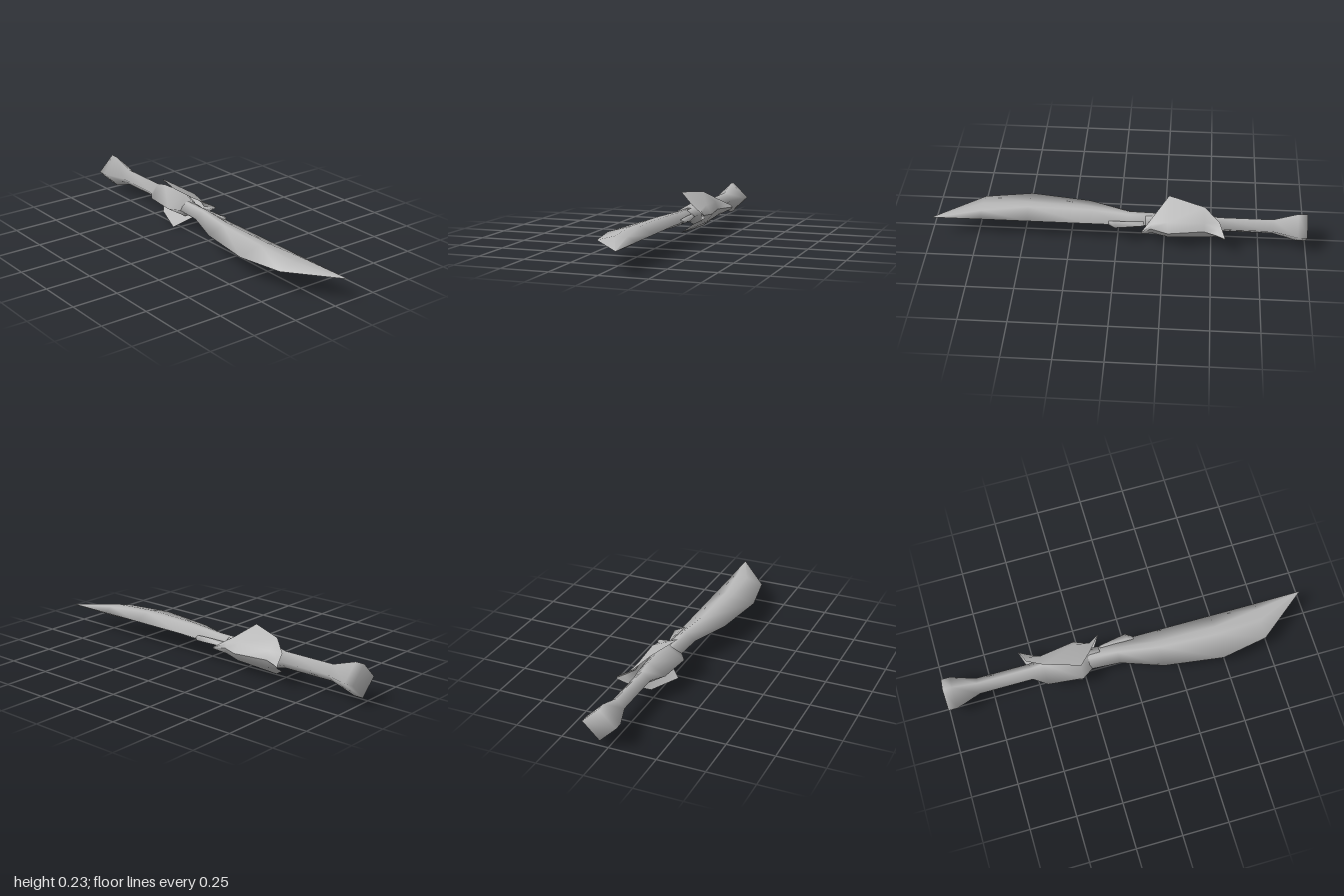
import * as THREE from 'three';

const AXIS = 0.117; // height of the centre line

// Skin rings of [z, y] points placed along x, closing both ends.
function loft(sections) {
  const n = sections[0].ring.length, pos = [], idx = [];
  for (const s of sections) for (const [z, y] of s.ring) pos.push(s.x, AXIS + y, z);
  for (let i = 0; i < sections.length - 1; i++) {
    for (let j = 0; j < n; j++) {
      const a = i * n + j, b = i * n + (j + 1) % n;
      idx.push(a, a + n, b, b, a + n, b + n);
    }
  }
  const last = (sections.length - 1) * n;
  for (let j = 1; j < n - 1; j++) {
    idx.push(0, j, j + 1);
    idx.push(last, last + j + 1, last + j);
  }
  return finish(pos, idx);
}

function finish(pos, idx) {
  const g = new THREE.BufferGeometry();
  g.setAttribute('position', new THREE.Float32BufferAttribute(pos, 3));
  g.setIndex(idx);
  g.computeVertexNormals();
  return g;
}

// Four-cornered section: front z, half height, back z.
const diamond = (x, front, half, back, mid = -0.045) =>
  ({ x, ring: [[front, 0], [mid, half], [back, 0], [mid, -half]] });

// Blade section: cutting edge, two shoulders per side, spine.
const bladeSection = (x, edge, front, back, spine, h) =>
  ({ x, ring: [[edge, 0], [front, h], [back, h], [spine, 0], [back, -h], [front, -h]] });

// Folded guard plate: each column runs from the rear ridge to the wing rim.
function wing(side) {
  const columns = [
    [[-0.57, 0, -0.17], [-0.57, 0.005, -0.168], [-0.568, 0.01, -0.165]],
    [[-0.53, 0, -0.147], [-0.53, 0.025, -0.12], [-0.54, 0.048, -0.09]],
    [[-0.46, 0, -0.115], [-0.46, 0.045, -0.1], [-0.46, 0.098, -0.03]],
    [[-0.27, 0, -0.145], [-0.27, 0.048, -0.11], [-0.27, 0.115, 0.037]],
    [[-0.18, 0, -0.11], [-0.19, 0.03, -0.105], [-0.2, 0.055, -0.05]],
    [[-0.13, 0, -0.15], [-0.132, 0.004, -0.147], [-0.134, 0.008, -0.142]],
  ];
  const pos = [], idx = [];
  for (const c of columns) for (const [x, y, z] of c) pos.push(x, AXIS + side * y, z);
  for (let i = 0; i < columns.length - 1; i++) {
    for (let j = 0; j < 2; j++) {
      const a = i * 3 + j, b = a + 1, c = a + 3, d = a + 4;
      if (side > 0) idx.push(a, b, c, b, d, c);
      else idx.push(a, c, b, b, c, d);
    }
  }
  return finish(pos, idx);
}

export function createModel() {
  const model = new THREE.Group();
  const steel = new THREE.MeshStandardMaterial({ color: 0xb8b8b8, side: THREE.DoubleSide });
  steel.name = 'grey steel';
  const add = (name, geometry) => {
    const mesh = new THREE.Mesh(geometry, steel);
    mesh.name = name;
    model.add(mesh);
  };

  // Pommel, grip and swollen hub in one skin
  add('handle', loft([
    diamond(-1, 0.045, 0.088, -0.135),
    diamond(-0.95, 0.045, 0.088, -0.135),
    diamond(-0.82, 0, 0.045, -0.09),
    diamond(-0.53, 0, 0.045, -0.09),
    diamond(-0.46, 0.05, 0.06, -0.1),
    diamond(-0.27, 0.07, 0.07, -0.11),
    diamond(-0.21, 0.03, 0.037, -0.085),
    diamond(-0.15, 0.03, 0.035, -0.085),
  ]));

  // Swept guard wings, mirrored above and below
  for (const side of [1, -1]) add(side > 0 ? 'upperGuardWing' : 'lowerGuardWing', wing(side));

  // Curved blade with a straight spine
  add('blade', loft([
    bladeSection(-0.22, 0.03, -0.015, -0.035, -0.08, 0.035),
    bladeSection(-0.06, 0.04, -0.01, -0.035, -0.085, 0.035),
    bladeSection(0.16, 0.12, 0.025, -0.01, -0.085, 0.035),
    bladeSection(0.48, 0.165, 0.04, -0.005, -0.085, 0.035),
    bladeSection(0.73, 0.12, 0.025, -0.04, -0.085, 0.025),
    bladeSection(0.99, -0.084, -0.0845, -0.0855, -0.086, 0.0005),
  ]));

  // Small spur at the root of the spine
  add('spineSpur', loft([
    diamond(-0.14, -0.06, 0.016, -0.085, -0.07),
    diamond(0.01, -0.06, 0.016, -0.112, -0.075),
    diamond(0.045, -0.06, 0.01, -0.088, -0.07),
  ]));

  return model;
}
